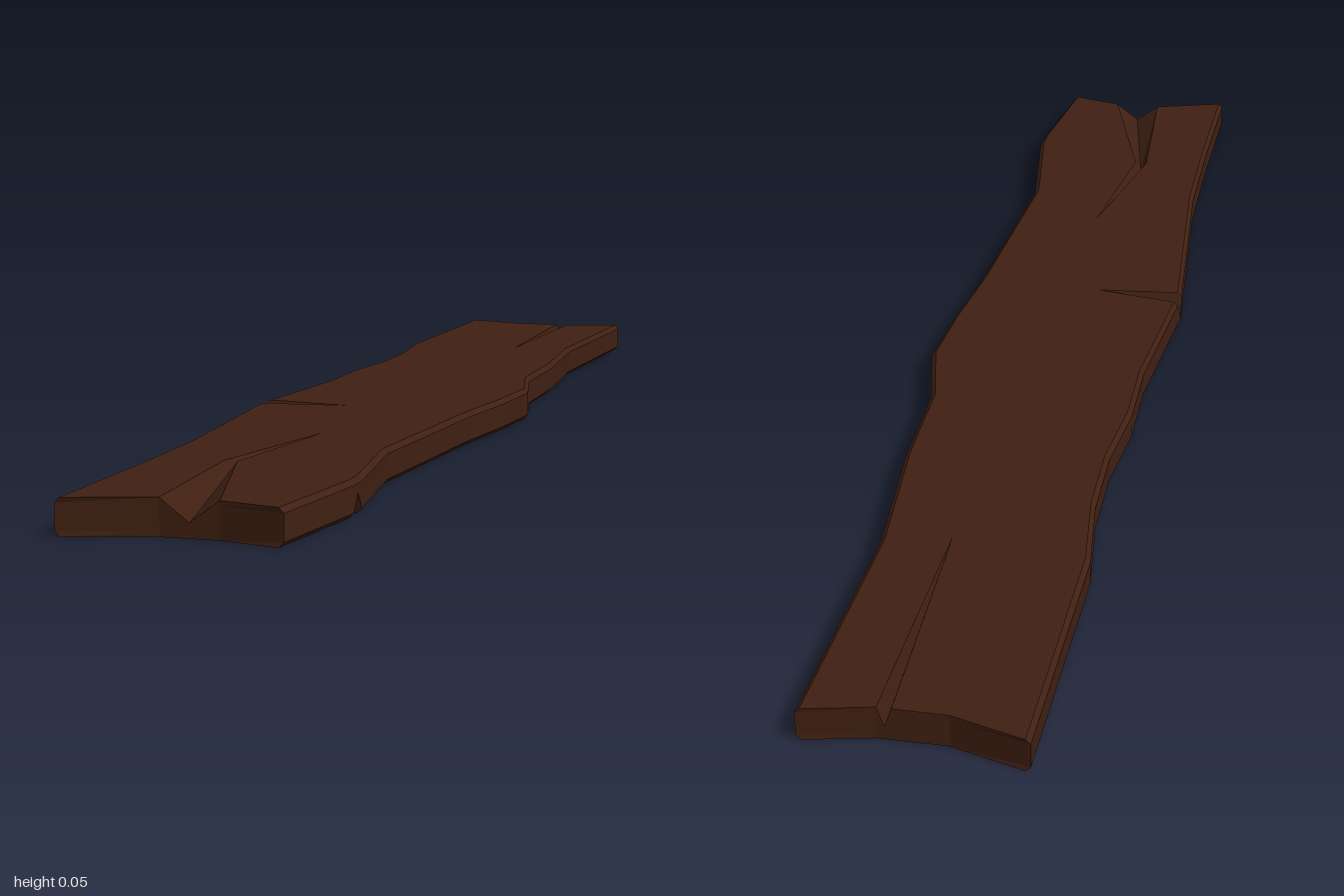
import * as THREE from 'three';

const H = 0.05;      // plank thickness
const BEVEL = 0.007; // chamfer along the two long edges

// Perimeter, anticlockwise seen from above, as [x, z] pairs
const rightFrontEdge = [[0.13, 0.985], [0.157, 0.79]];
const rightBackEdge = [[0.157, 0.755], [0.13, 0.55], [0.157, 0.2], [0.175, 0.06], [0.185, -0.07],
  [0.157, -0.2], [0.157, -0.37], [0.14, -0.6], [0.157, -0.99]];
const leftBackEdge = [[-0.15, -1], [-0.16, -0.6], [-0.145, -0.46], [-0.145, -0.33], [-0.16, -0.2],
  [-0.16, -0.07], [-0.184, 0.165]];
const leftFrontEdge = [[-0.186, 0.198], [-0.16, 0.57], [-0.16, 0.77], [-0.165, 1]];

// Cracks: valley mouth on the perimeter, then [x, z] sides a and b with valley m as [x, y, z]
const cracks = {
  frontCrack: { mouth: [0, 0.965], y: 0.02, a: [[-0.055, 0.7]], m: [[-0.045, 0.036, 0.7]], b: [[-0.035, 0.7]], tip: [0, 0.45] },
  backCrack: { mouth: [0.045, -0.97], y: 0.02, a: [], m: [], b: [], tip: [0.04, -0.58] },
  sideCrack: { mouth: [-0.187, 0.185], y: 0.012, a: [], m: [], b: [], tip: [-0.045, 0.185] },
  undersideNick: { mouth: [0.157, 0.772], y: 0.03, under: true, a: [], m: [], b: [], tip: [0.07, 0.77] },
};

export function createModel() {
  const triangles = [];
  const tri = (...points) => points.forEach((p) => triangles.push(...p));
  const quad = (a, b, c, d) => { tri(a, b, c); tri(a, c, d); };

  // Each perimeter point becomes a column of four points from underside to top
  const column = ([x, z], inset, lo = 0, hi = H) =>
    [[BEVEL, 0], [0, BEVEL], [0, H - BEVEL], [BEVEL, H]].map(([d, y]) =>
      [x - Math.sign(x) * d * inset, Math.min(hi, Math.max(lo, y)), z]);

  const ring = [];
  const add = (points, inset) => points.forEach((p) => ring.push({ col: column(p, inset) }));
  const addCrack = (crack, inset) => ring.push({
    crack,
    col: crack.under ? column(crack.mouth, inset, crack.y, H) : column(crack.mouth, inset, 0, crack.y),
  });
  add(rightFrontEdge, 1);
  addCrack(cracks.undersideNick, 1);
  add(rightBackEdge, 1);
  add([[0.055, -0.97]], 0);
  addCrack(cracks.backCrack, 0);
  add([[0.035, -0.97], [-0.04, -0.97]], 0);
  add(leftBackEdge, 1);
  addCrack(cracks.sideCrack, 1);
  add(leftFrontEdge, 1);
  add([[-0.04, 0.965]], 0);
  addCrack(cracks.frontCrack, 0);
  add([[0.04, 0.965]], 0);

  // Chamfered sides and broken ends
  const at = (i) => ring[(i + ring.length) % ring.length];
  ring.forEach(({ col }, i) => {
    const next = at(i + 1).col;
    for (let k = 0; k < 3; k++) quad(col[k], next[k], next[k + 1], col[k + 1]);
  });

  // Two sloping walls meeting in the valley of a crack
  const valley = (a, m, b, under) => {
    for (let i = 0; i < m.length - 1; i++) {
      const walls = [[a[i], m[i], m[i + 1], a[i + 1]], [m[i], b[i], b[i + 1], m[i + 1]]];
      walls.forEach((w) => quad(...(under ? w.reverse() : w)));
    }
  };

  // Top or underside outline, following every crack inwards
  const outline = (under) => {
    const level = under ? 0 : 3;
    const y = under ? 0 : H;
    const lift = ([x, z]) => [x, y, z];
    const points = [];
    ring.forEach(({ col, crack }, i) => {
      if (!crack || !!crack.under !== under) {
        points.push(col[level]);
        return;
      }
      const tip = lift(crack.tip);
      const a = crack.a.map(lift);
      const b = crack.b.map(lift);
      valley([at(i - 1).col[level], ...a, tip], [col[level], ...crack.m, tip],
        [at(i + 1).col[level], ...b, tip], under);
      points.push(...a, tip, ...b.reverse());
    });
    return points;
  };

  const face = (contour, holes, under) => {
    const flat = (list) => list.map(([x, , z]) => new THREE.Vector2(x, -z));
    const all = [...contour, ...holes.flat()];
    THREE.ShapeUtils.triangulateShape(flat(contour), holes.map(flat)).forEach(([i, j, k]) => {
      if (under) tri(all[i], all[k], all[j]);
      else tri(all[i], all[j], all[k]);
    });
  };

  // Top face
  face(outline(false), [], false);

  // Underside with a shallow bent split in the middle
  const start = [0.02, 0, 0.2];
  const end = [0.014, 0, -0.47];
  const splitA = [start, [-0.03, 0, 0.02], [-0.055, 0, -0.15], end];
  const splitM = [start, [-0.02, 0.007, 0.02], [-0.042, 0.009, -0.15], end];
  const splitB = [start, [-0.008, 0, 0.02], [-0.03, 0, -0.15], end];
  valley(splitA, splitM, splitB, true);
  face(outline(true), [[...splitA, ...splitB.slice(1, 3).reverse()]], true);

  const geometry = new THREE.BufferGeometry();
  geometry.setAttribute('position', new THREE.Float32BufferAttribute(triangles, 3));
  geometry.computeVertexNormals();
  const plank = new THREE.Mesh(geometry, new THREE.MeshStandardMaterial({ color: 0x402012, flatShading: true }));
  plank.name = 'plank';

  const group = new THREE.Group();
  group.name = 'woodenPlank';
  group.add(plank);
  return group;
}
